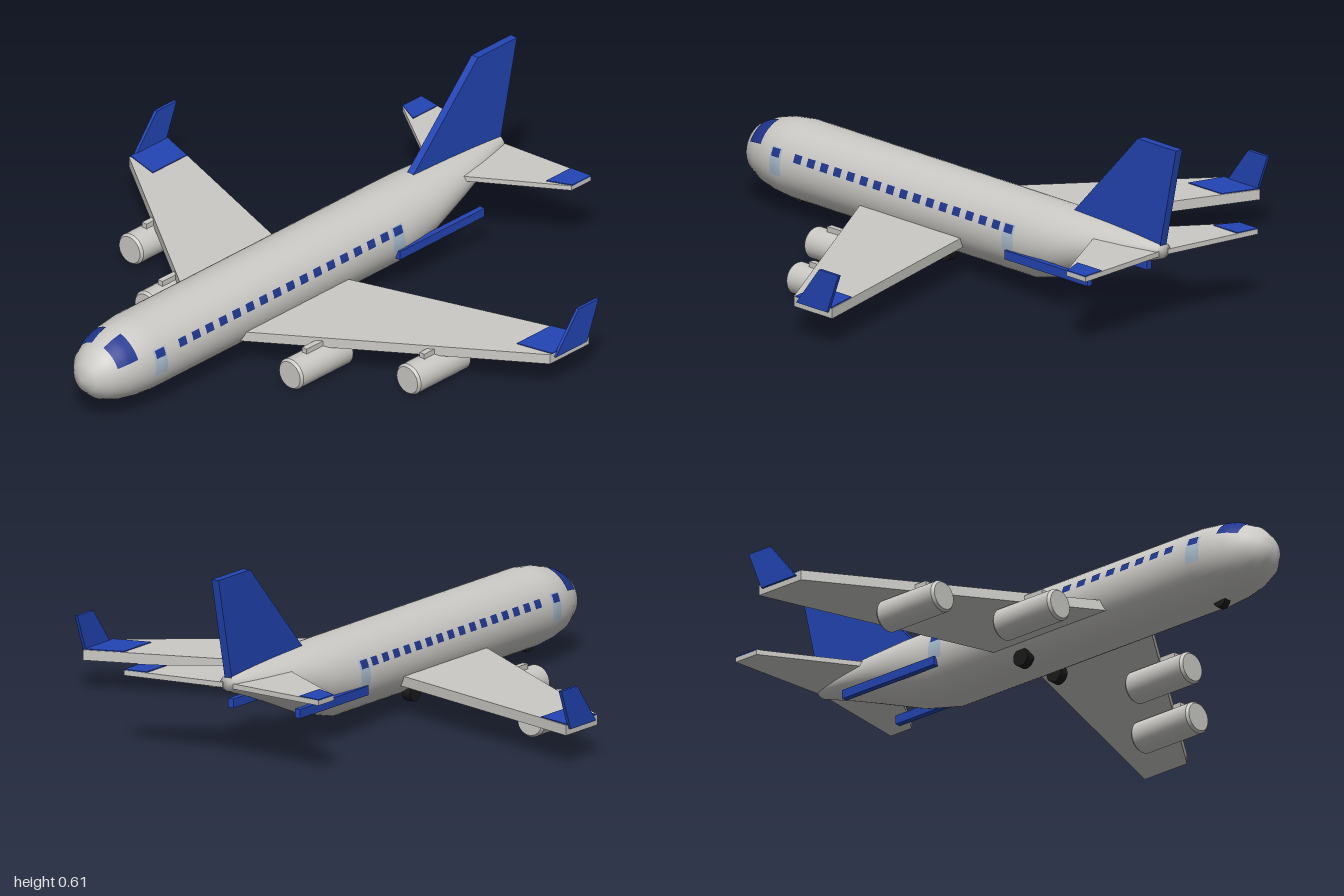
import * as THREE from 'three';
import { mergeVertices, toCreasedNormals } from 'three/addons/utils/BufferGeometryUtils.js';

const mat = (name, color, side = THREE.FrontSide) => {
  const m = new THREE.MeshStandardMaterial({ color, side });
  m.name = name;
  return m;
};

// Fuselage stations: z, centre height, half width, half height
const STATIONS = [
  [0.995, 0.17, 0, 0], [0.975, 0.17, 0.05, 0.05], [0.94, 0.172, 0.085, 0.085],
  [0.88, 0.174, 0.111, 0.111], [0.82, 0.176, 0.124, 0.124], [0.75, 0.177, 0.131, 0.131],
  [-0.38, 0.177, 0.131, 0.131], [-0.52, 0.194, 0.123, 0.113], [-0.69, 0.225, 0.092, 0.076],
  [-0.8, 0.243, 0.065, 0.052], [-0.925, 0.26, 0.03, 0.026], [-0.926, 0.26, 0, 0],
];

function station(z) {
  let i = 0;
  while (i < STATIONS.length - 2 && STATIONS[i + 1][0] > z) i++;
  const a = STATIONS[i], b = STATIONS[i + 1];
  const k = (a[0] - z) / (a[0] - b[0]);
  return a.map((v, n) => v + (b[n] - v) * k);
}

// Skin of the fuselage over a list of z values and an angle range from the top
function skin(zs, t0, t1, steps, lift = 0) {
  const pos = [], idx = [], row = steps + 1;
  zs.forEach((zz, i) => {
    const [z, cy, rx, ry] = station(zz);
    for (let j = 0; j <= steps; j++) {
      const t = t0 + (t1 - t0) * j / steps;
      pos.push((rx + lift) * Math.sin(t), cy + (ry + lift) * Math.cos(t), z);
      if (i < zs.length - 1 && j < steps) {
        const a = i * row + j, c = a + row;
        idx.push(a, a + 1, c, a + 1, c + 1, c);
      }
    }
  });
  let g = new THREE.BufferGeometry();
  g.setAttribute('position', new THREE.Float32BufferAttribute(pos, 3));
  g.setIndex(idx);
  g = mergeVertices(g, 1e-5);
  g.computeVertexNormals();
  return g;
}

// Thin panel lying on the fuselage on one side (s = 1 or -1)
function panel(s, zFront, zBack, t0, t1, lift) {
  const zs = Array.from({ length: 7 }, (_, i) => zFront + (zBack - zFront) * i / 6);
  return skin(zs, Math.min(s * t0, s * t1), Math.max(s * t0, s * t1), 6, lift);
}

const shapeOf = (pts) => new THREE.Shape(pts.map(([x, y]) => new THREE.Vector2(x, y)));

// Horizontal slab from an x,z outline
function slab(pts, s, top, thick) {
  const g = new THREE.ExtrudeGeometry(shapeOf(pts.map(([x, z]) => [s * x, z])), { depth: thick, bevelEnabled: false });
  return g.rotateX(Math.PI / 2).translate(0, top, 0);
}

// Upright slab from a z,y outline
function upright(pts, x, thick) {
  const g = new THREE.ExtrudeGeometry(shapeOf(pts), { depth: thick, bevelEnabled: false });
  return g.rotateY(-Math.PI / 2).translate(x + thick / 2, 0, 0);
}

export function createModel() {
  const body = mat('bodyGrey', 0xcac9c5);
  const blue = mat('trimBlue', 0x2345b4);
  const navy = mat('windowNavy', 0x20368f);
  const pale = mat('doorPaleBlue', 0xa9bccd);
  const black = mat('tyreBlack', 0x1a1a1a);

  const model = new THREE.Group();
  model.name = 'airliner';
  const add = (name, geometry, material) => {
    const m = new THREE.Mesh(geometry, material);
    m.name = name;
    model.add(m);
    return m;
  };

  add('fuselage', skin(STATIONS.map((p) => p[0]), -Math.PI, Math.PI, 48), body);

  // Tail fin
  add('tailFin', upright([[-0.5, 0.285], [-0.525, 0.308], [-0.82, 0.613], [-1, 0.613], [-0.925, 0.278], [-0.9, 0.265]], 0, 0.027), blue);

  // Engine pod with softened rims
  const pod = toCreasedNormals(new THREE.LatheGeometry(
    [[0, -0.123], [0.046, -0.123], [0.053, -0.114], [0.053, 0.114], [0.046, 0.123], [0, 0.123]]
      .map(([r, y]) => new THREE.Vector2(r, y)), 28).rotateX(Math.PI / 2), 0.6);

  // Angle from the top of the barrel for a given height
  const angle = (y) => Math.acos((y - 0.177) / 0.131);

  for (const s of [1, -1]) {
    const side = s > 0 ? 'left' : 'right';

    // Wing, painted tip and winglet
    add(side + 'Wing', slab([[0.09, 0.388], [0.925, -0.197], [0.925, -0.376], [0.09, -0.097]], s, 0.138, 0.034), body);
    add(side + 'WingTipPaint', slab([[0.8, -0.175], [0.926, -0.205], [0.926, -0.372], [0.8, -0.332]], s, 0.141, 0.004), blue);
    add(side + 'Winglet', upright([[-0.215, 0.123], [-0.36, 0.123], [-0.413, 0.257], [-0.322, 0.257]], s * 0.927, 0.011), blue);

    // Tailplane and painted tip
    add(side + 'Tailplane', slab([[0.02, -0.645], [0.075, -0.68], [0.372, -0.876], [0.372, -0.965], [0.02, -0.927]], s, 0.262, 0.017), body);
    add(side + 'TailplaneTipPaint', slab([[0.293, -0.842], [0.373, -0.879], [0.373, -0.964], [0.293, -0.955]], s, 0.265, 0.004), blue);

    // Rear side strake
    add(side + 'Strake', new THREE.BoxGeometry(0.02, 0.03, 0.39).translate(s * 0.128, 0.138, -0.525), blue);

    // Engines and pylons
    for (const [name, x, z] of [['Inner', 0.317, 0.242], ['Outer', 0.61, 0.008]]) {
      add(side + name + 'Engine', pod, body).position.set(s * x, 0.057, z);
      add(side + name + 'Pylon', new THREE.BoxGeometry(0.02, 0.03, 0.17).translate(s * x, 0.112, z - 0.03), body);
    }

    // Cabin windows
    for (let i = 0; i < 16; i++) {
      const z = 0.655 - i * 0.062;
      add(side + 'CabinWindow', panel(s, z + 0.017, z - 0.017, angle(0.235), angle(0.209), 0.002), navy);
    }

    // Doors with their windows
    for (const z of [0.758, -0.335]) {
      add(side + 'Door', panel(s, z + 0.026, z - 0.026, angle(0.238), angle(0.148), 0.0015), pale);
      add(side + 'DoorWindow', panel(s, z + 0.019, z - 0.019, angle(0.235), angle(0.209), 0.003), navy);
    }

    // Cockpit glass
    add(side + 'CockpitWindow', panel(s, 0.917, 0.845, 0.26, 1.13, 0.003), navy);
  }

  // Wheels
  const wheel = (name, x, y, z, r, w) =>
    add(name, new THREE.CylinderGeometry(r, r, w, 18).rotateZ(Math.PI / 2).translate(x, y, z), black);
  wheel('noseWheel', 0, 0.052, 0.772, 0.024, 0.025);
  wheel('leftMainWheel', 0.08, 0.062, 0, 0.031, 0.03);
  wheel('rightMainWheel', -0.08, 0.062, 0, 0.031, 0.03);

  return model;
}
